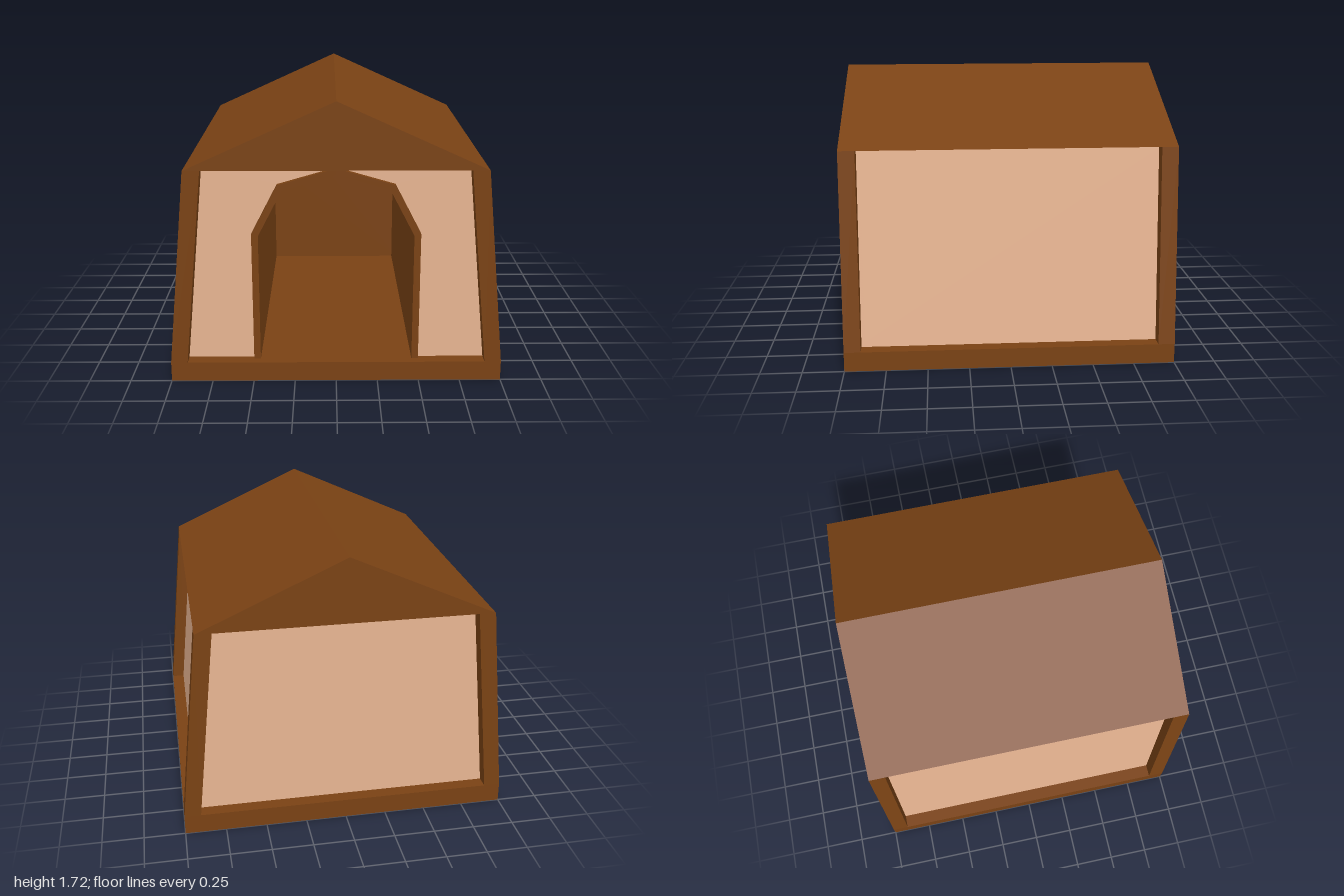
import * as THREE from 'three';

const wood = new THREE.MeshStandardMaterial({ color: 0x7a4214, flatShading: true });
const panel = new THREE.MeshStandardMaterial({ color: 0xe8b592, flatShading: true });

const FLOOR = 0.12, EAVE = 1.32, RIDGE = 1.72;
const mirrorX = (pts) => pts.map(([x, y]) => [-x, y]).reverse();

// Extrudes an outline in the xy plane from z0 to z1
function prism(name, pts, z0, z1, material) {
  const shape = new THREE.Shape(pts.map(([x, y]) => new THREE.Vector2(x, y)));
  const geo = new THREE.ExtrudeGeometry(shape, { depth: z1 - z0, bevelEnabled: false });
  geo.translate(0, 0, z0);
  const mesh = new THREE.Mesh(geo, material);
  mesh.name = name;
  return mesh;
}

export function createModel() {
  const house = new THREE.Group();
  house.name = 'kennel';

  // Floor slab
  const base = new THREE.Mesh(new THREE.BoxGeometry(2, FLOOR, 2), wood);
  base.position.y = FLOOR / 2;
  base.name = 'base';
  house.add(base);

  // Solid gable roof
  house.add(prism('roof', [[-0.88, EAVE], [0.88, EAVE], [0, RIDGE]], -1, 1, wood));

  // Outlines for the +x half; the other half is mirrored
  const post = [[0.9, FLOOR], [1, FLOOR], [0.88, EAVE], [0.78, EAVE]];
  const sideWall = [[0.88, FLOOR], [0.92, FLOOR], [0.801, 1.31], [0.761, 1.31]];
  const outerArch = [[0.5, FLOOR], [0.5, 0.92], [0.345, 1.22], [0, EAVE]];
  const innerArch = [[0.46, FLOOR], [0.46, 0.91], [0.315, 1.19], [0, 1.28]];
  const frontWall = [...outerArch, [0.8, EAVE], [0.92, FLOOR]].reverse();

  for (const [side, flip] of [['left', (p) => p], ['right', mirrorX]]) {
    // Leaning corner posts
    house.add(prism(side + 'FrontPost', flip(post), 0.9, 1, wood));
    house.add(prism(side + 'BackPost', flip(post), -1, -0.9, wood));
    // Recessed wall panels
    house.add(prism(side + 'Wall', flip(sideWall), -0.92, 0.92, panel));
    house.add(prism(side + 'FrontWall', flip(frontWall), 0.88, 0.92, panel));
  }
  house.add(prism('backWall',
    [[-0.92, FLOOR], [0.92, FLOOR], [0.8, EAVE], [-0.8, EAVE]], -0.92, -0.88, panel));

  // Doorway lining running through to the back, with a closed end
  const full = (half) => [...half, ...mirrorX(half).slice(1)];
  const lining = [...full(outerArch), ...full(innerArch).reverse()];
  house.add(prism('doorwayLining', lining, -0.86, 0.95, wood));
  house.add(prism('doorwayEnd', full(outerArch), -0.88, -0.86, wood));

  return house;
}
